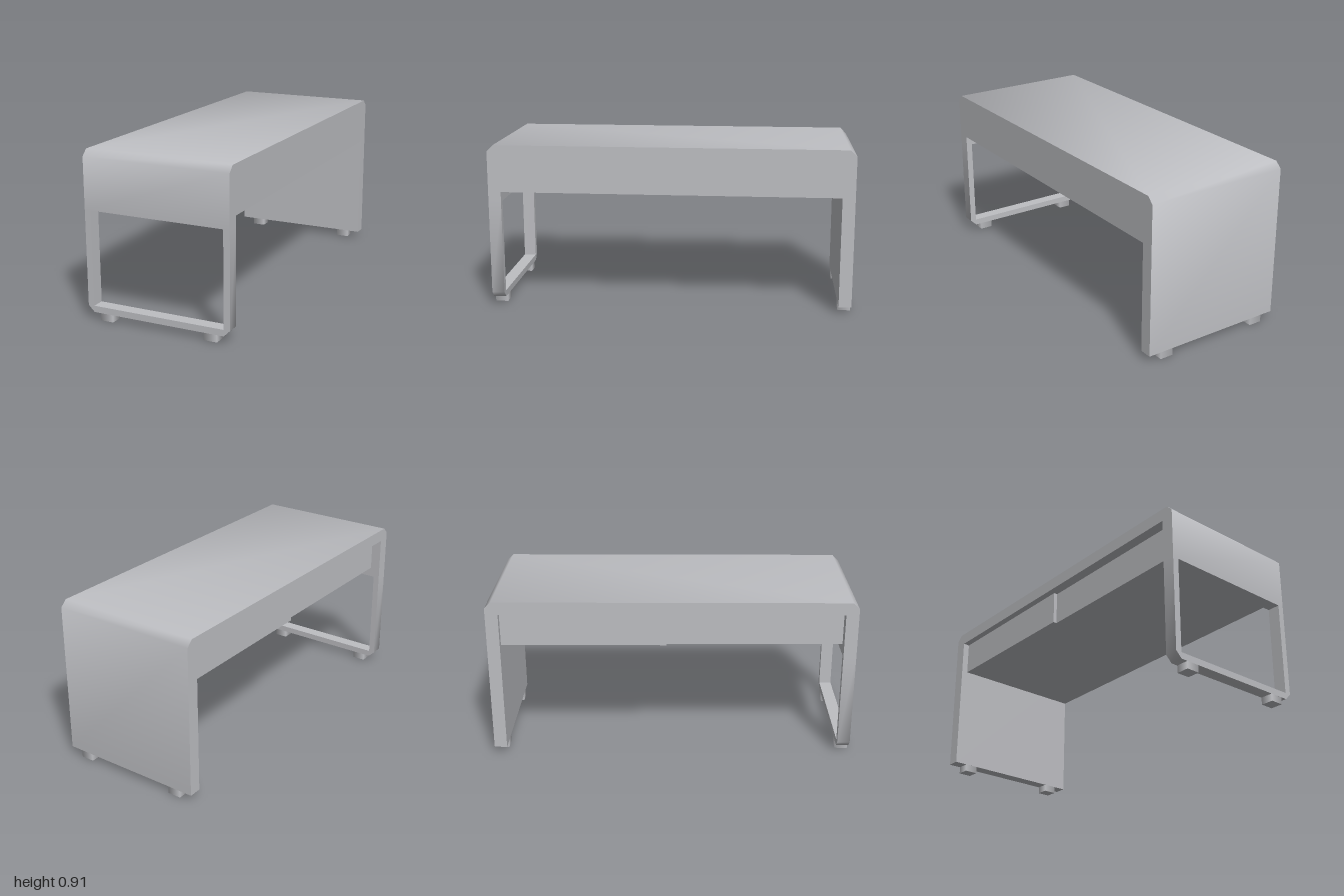
import * as THREE from 'three';
import { toCreasedNormals } from 'three/addons/utils/BufferGeometryUtils.js';

const W = 0.413;       // half width
const L = 1;           // half length
const H = 0.91;        // height
const T = 0.07;        // board thickness
const C = 0.035;       // corner chamfer and frame bar width
const FLOOR = 0.04;    // underside of legs
const RAIL = 0.595;    // top of the front opening

export function createModel() {
  const group = new THREE.Group();
  const grey = new THREE.MeshStandardMaterial({ color: 0xbdbec2 });
  grey.name = 'light grey';

  const add = (name, geometry, x = 0, y = 0, z = 0) => {
    const mesh = new THREE.Mesh(geometry, grey);
    mesh.name = name;
    mesh.position.set(x, y, z);
    group.add(mesh);
    return mesh;
  };
  // Extrudes an outline, softening only the chamfered corners
  const extrude = (points, depth) => {
    const shape = new THREE.Shape(points.map(([a, b]) => new THREE.Vector2(a, b)));
    const geometry = new THREE.ExtrudeGeometry(shape, { depth, bevelEnabled: false });
    return toCreasedNormals(geometry, 0.9);
  };
  // Box given by its two opposite corners
  const block = (name, x0, x1, y0, y1, z0, z1) =>
    add(name, new THREE.BoxGeometry(x1 - x0, y1 - y0, z1 - z0),
      (x0 + x1) / 2, (y0 + y1) / 2, (z0 + z1) / 2);

  // Top, back panel and front rail as one folded board, outlined in z and y
  const board = extrude([
    [L, RAIL], [L, H - C], [L - C, H], [-L + C, H], [-L, H - C], [-L, FLOOR],
    [-L + T, FLOOR], [-L + T, H - T], [L - T, H - T], [L - T, RAIL],
  ], 2 * W);
  board.rotateY(-Math.PI / 2);
  add('topAndBackPanel', board, W);

  // Open front leg frame, a U with chamfered lower corners
  add('frontLegFrame', extrude([
    [-W, RAIL], [-W, FLOOR + C], [-W + C, FLOOR], [W - C, FLOOR], [W, FLOOR + C], [W, RAIL],
    [W - C, RAIL], [W - C, FLOOR + C], [-W + C, FLOOR + C], [-W + C, RAIL],
  ], T), 0, 0, L - T);

  // Drawer case under the top: flush on the left, set in on the right
  block('rearDrawerCase', -W + 0.037, W, 0.65, H - T, -L + T, -0.03);
  block('frontDrawerCase', -W + 0.058, W, 0.65, H - T, -0.03, L - T);

  // Four small square feet with softened sides
  const foot = new THREE.CylinderGeometry(0.053, 0.053, FLOOR, 4);
  foot.rotateY(Math.PI / 4);
  foot.scale(1, 1, 0.93);
  for (const x of [-0.303, 0.303])
    for (const z of [-L + T / 2, L - T / 2]) add('foot', foot, x, FLOOR / 2, z);

  return group;
}
